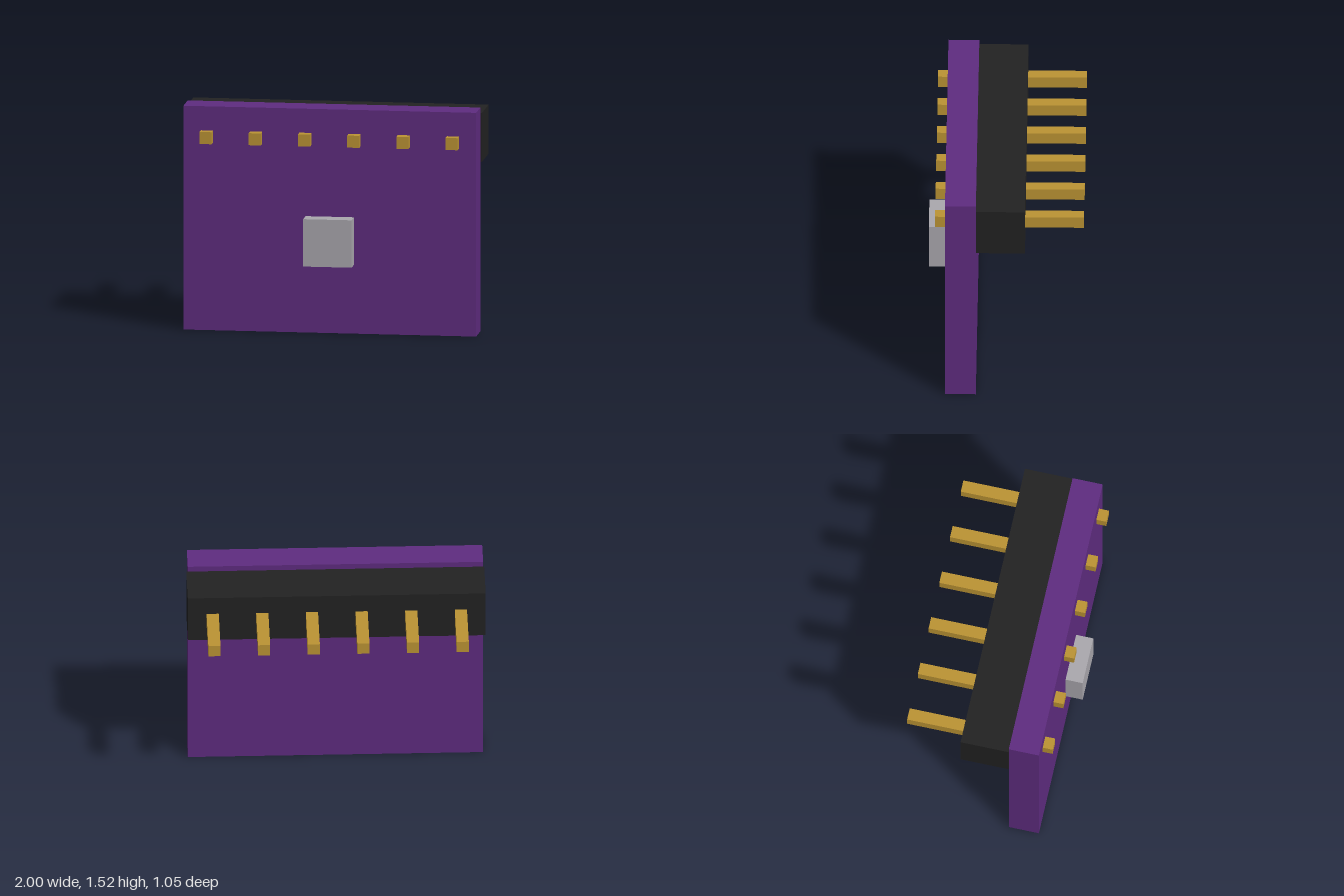
import * as THREE from 'three';

const material = (name, color) => {
  const m = new THREE.MeshStandardMaterial({ color });
  m.name = name;
  return m;
};

export function createModel() {
  const purple = material('board purple', 0x5f2c80);
  const black = material('housing black', 0x222222);
  const gold = material('pin gold', 0xbc9434);
  const grey = material('chip grey', 0xaaa8ae);

  const model = new THREE.Group();
  model.name = 'pinHeaderBoard';

  // Box given by its extents along each axis
  const box = (name, mat, [x0, x1], [y0, y1], [z0, z1]) => {
    const mesh = new THREE.Mesh(new THREE.BoxGeometry(x1 - x0, y1 - y0, z1 - z0), mat);
    mesh.position.set((x0 + x1) / 2, (y0 + y1) / 2, (z0 + z1) / 2);
    mesh.name = name;
    model.add(mesh);
  };

  // Upright circuit board
  box('board', purple, [-0.993, 0.99], [0, 1.525], [0.2, 0.407]);

  // Header housing along the top of the back
  box('headerHousing', black, [-1, 1], [1.153, 1.487], [-0.13, 0.2]);

  // Chip on the front face
  box('chip', grey, [-0.165, 0.163], [0.47, 0.793], [0.407, 0.525]);

  // Six pins passing through housing and board
  for (let i = 0; i < 6; i++) {
    const x = (i - 2.5) / 3;
    box(`pin${i + 1}`, gold, [x - 0.041, x + 0.041], [1.279, 1.361], [-0.525, 0.475]);
  }

  return model;
}
